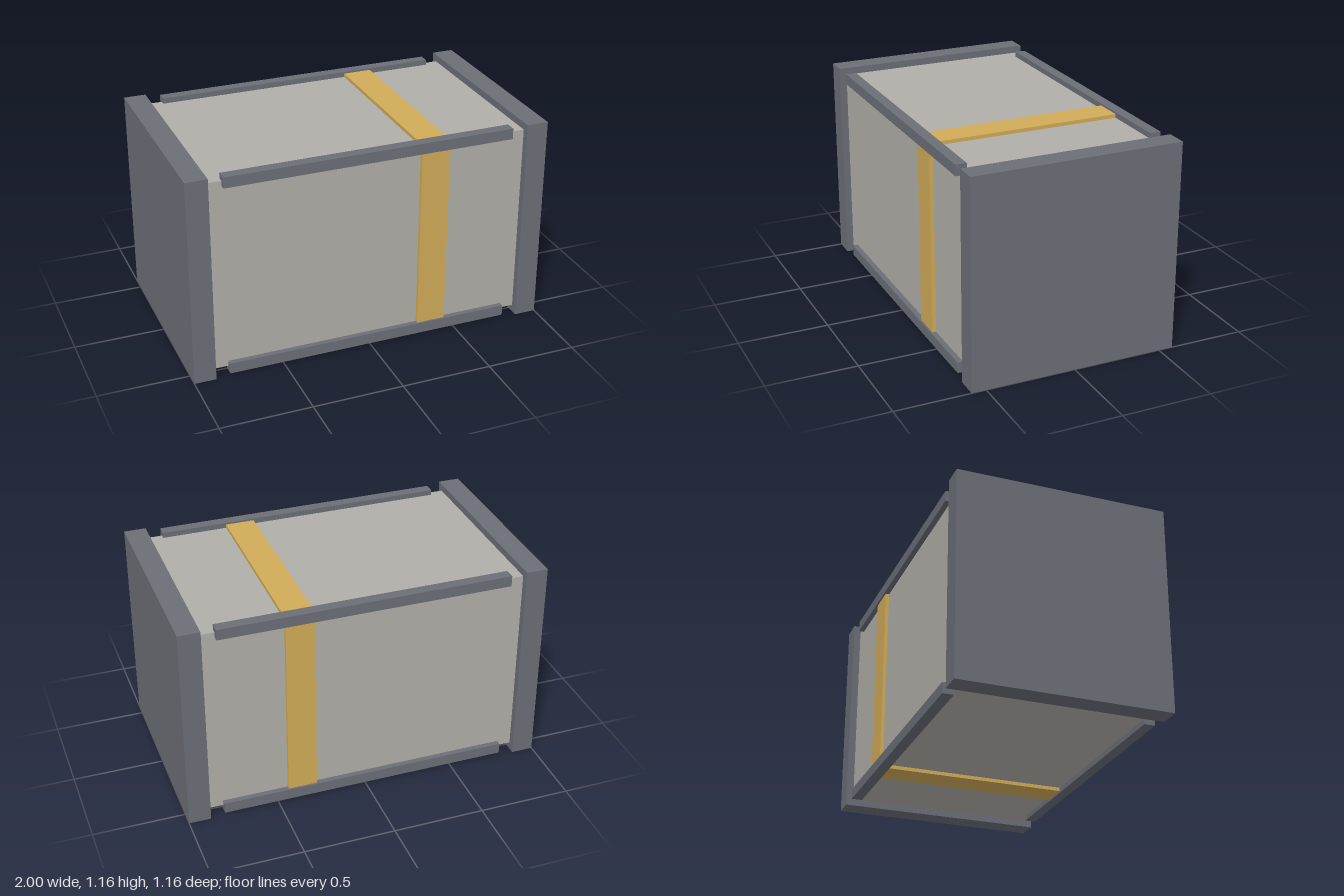
import * as THREE from 'three';

export function createModel() {
  const model = new THREE.Group();
  model.name = 'cargoContainer';
  const centreY = 0.58;

  const shell = new THREE.MeshStandardMaterial({ color: 0xb0aea8 });
  const frame = new THREE.MeshStandardMaterial({ color: 0x6b6e76 });
  const yellow = new THREE.MeshStandardMaterial({ color: 0xd0ab58 });

  // Adds a box; y is measured from the container's centre line
  function addBox(name, size, [x, y, z], material) {
    const mesh = new THREE.Mesh(new THREE.BoxGeometry(...size), material);
    mesh.name = name;
    mesh.position.set(x, centreY + y, z);
    model.add(mesh);
  }

  // Main body and the stripe wrapped around it
  addBox('body', [1.76, 1.08, 1.08], [0, 0, 0], shell);
  addBox('stripeBand', [0.16, 1.12, 1.12], [0.36, 0, 0], yellow);

  // End caps
  for (const side of [-1, 1]) {
    addBox(side > 0 ? 'leftEndCap' : 'rightEndCap', [0.12, 1.16, 1.16], [side * 0.94, 0, 0], frame);
  }

  // Rails along the four long edges
  for (const v of [-1, 1]) {
    for (const d of [-1, 1]) {
      const name = (v > 0 ? 'top' : 'bottom') + (d > 0 ? 'Front' : 'Back') + 'Rail';
      addBox(name, [1.6, 0.06, 0.06], [0, v * 0.54, d * 0.54], frame);
    }
  }

  return model;
}
